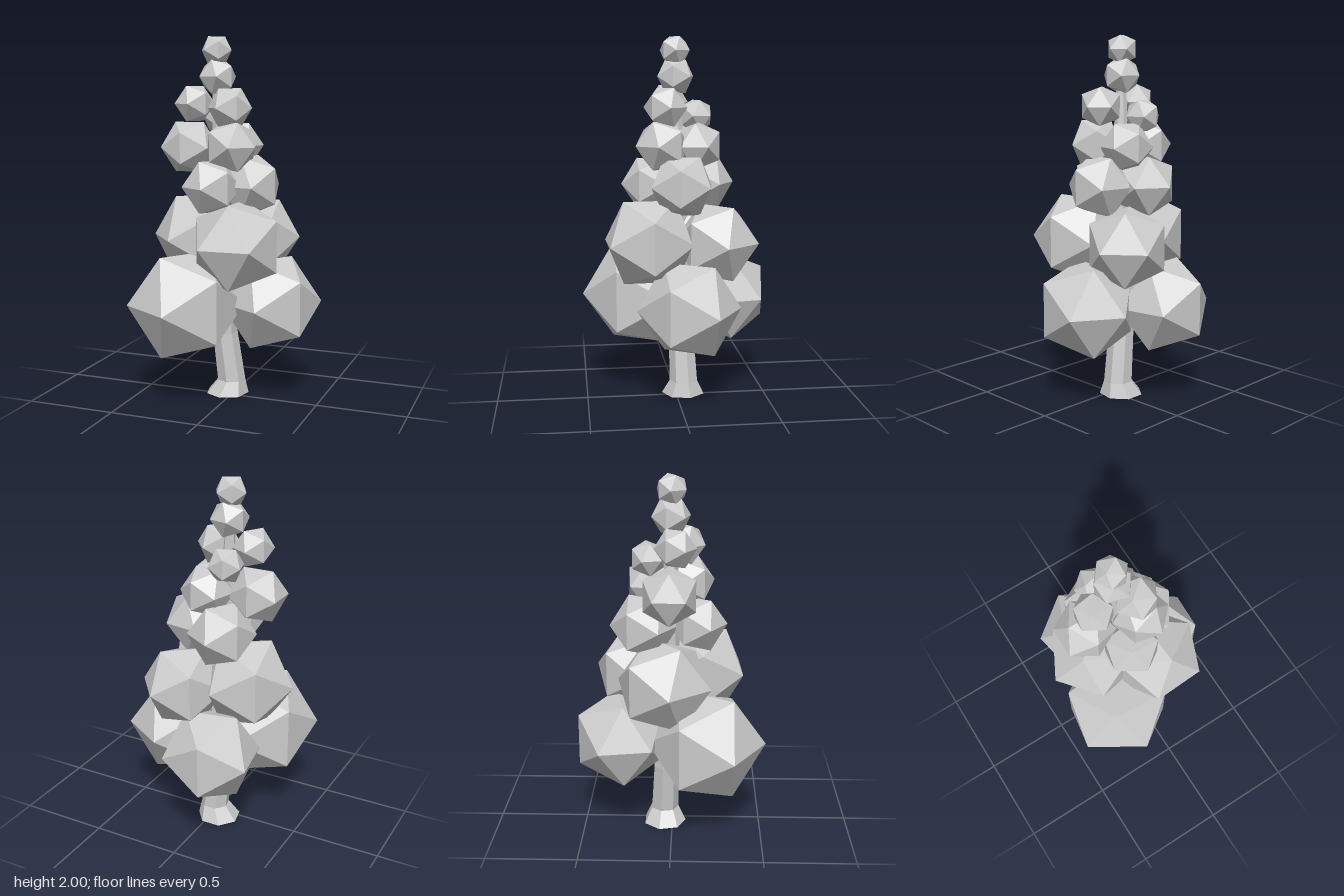
import * as THREE from 'three';

const material = new THREE.MeshStandardMaterial({ color: 0xcccccc, flatShading: true });

// Leaning trunk: rings of [y, centre x, centre z, radius]
function makeTrunk() {
  const rings = [
    [0, -0.04, -0.045, 0.122],
    [0.08, -0.015, -0.045, 0.08],
    [0.36, -0.05, -0.035, 0.072],
    [0.9, -0.04, -0.02, 0.06],
    [1.4, -0.07, -0.01, 0.045],
    [1.85, -0.085, 0, 0.02],
  ];
  const geometry = new THREE.CylinderGeometry(1, 1, rings.length - 1, 7, rings.length - 1);
  const p = geometry.attributes.position;
  const half = (rings.length - 1) / 2;
  for (let i = 0; i < p.count; i++) {
    const [y, cx, cz, r] = rings[Math.round(p.getY(i) + half)];
    p.setXYZ(i, cx + p.getX(i) * r, y, cz + p.getZ(i) * r);
  }
  geometry.computeVertexNormals();
  const trunk = new THREE.Mesh(geometry, material);
  trunk.name = 'trunk';
  return trunk;
}

// Foliage tiers, bottom to top; each clump is [x, y, z, radius, turn in degrees]
const tiers = [
  [
    [-0.19, 0.555, 0.19, 0.325, 58.3],
    [0.22, 0.55, -0.045, 0.283, 58.3],
    [-0.12, 0.555, -0.285, 0.272, 10],
  ],
  [
    [0.087, 0.895, 0.158, 0.265, 93],
    [-0.2, 0.9, -0.04, 0.268, 39],
    [0.09, 0.89, -0.21, 0.235, 39],
  ],
  [
    [-0.06, 1.2, 0.135, 0.163, 58.3],
    [0.1, 1.2, -0.02, 0.185, 80],
    [-0.11, 1.2, -0.15, 0.185, 58.3],
  ],
  [
    [-0.25, 1.4, -0.01, 0.162, 0],
    [0.03, 1.415, 0.08, 0.152, 136],
    [-0.005, 1.41, -0.115, 0.145, -15],
  ],
  [
    [-0.205, 1.64, 0.02, 0.112, 60],
    [0.015, 1.62, 0.06, 0.122, 40],
    [-0.12, 1.57, -0.125, 0.1, 15],
  ],
  [[-0.08, 1.785, -0.005, 0.107, 75]],
  [[-0.085, 1.925, -0.002, 0.088, 30]],
];

export function createModel() {
  const tree = new THREE.Group();
  tree.name = 'tree';
  tree.add(makeTrunk());

  const clump = new THREE.IcosahedronGeometry(1, 0);
  tiers.forEach((tier, t) => {
    const group = new THREE.Group();
    group.name = `foliageTier${t + 1}`;
    tier.forEach(([x, y, z, r, turn], i) => {
      const mesh = new THREE.Mesh(clump, material);
      mesh.name = `leafClump${i + 1}`;
      mesh.position.set(x, y, z);
      mesh.scale.setScalar(r);
      mesh.rotation.y = THREE.MathUtils.degToRad(turn);
      group.add(mesh);
    });
    tree.add(group);
  });
  return tree;
}
